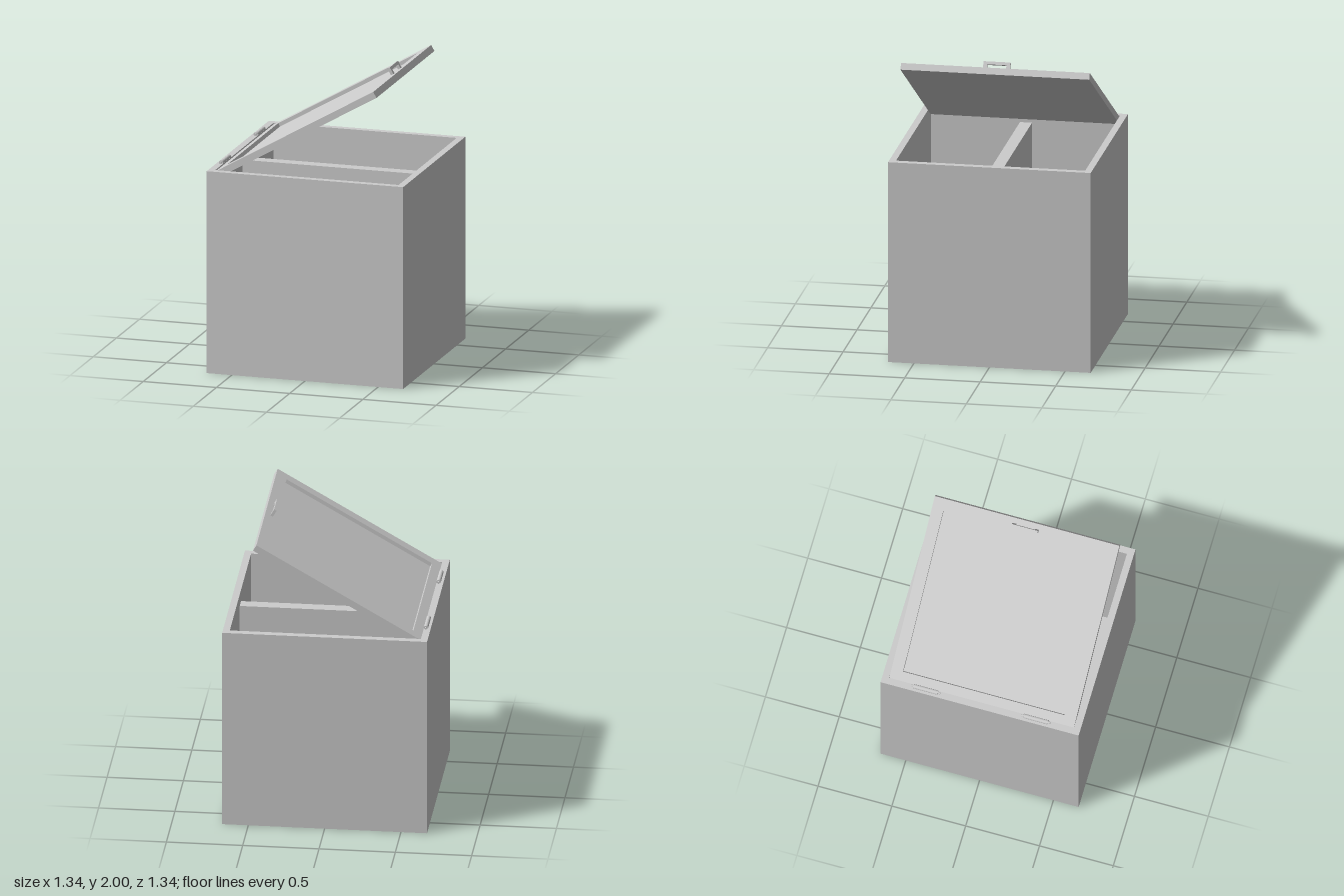
import * as THREE from 'three';

const material = new THREE.MeshStandardMaterial({ color: 0xcccccc, flatShading: true });

function add(parent, name, geometry, x = 0, y = 0, z = 0) {
  const mesh = new THREE.Mesh(geometry, material);
  mesh.name = name;
  mesh.position.set(x, y, z);
  parent.add(mesh);
  return mesh;
}

const box = (w, h, d) => new THREE.BoxGeometry(w, h, d);

function rectangle(PathType, w, d) {
  const path = new PathType();
  path.moveTo(-w / 2, -d / 2);
  path.lineTo(w / 2, -d / 2);
  path.lineTo(w / 2, d / 2);
  path.lineTo(-w / 2, d / 2);
  path.closePath();
  return path;
}

// Upright rectangular ring standing on y = 0
function ring(w, d, border, height) {
  const shape = rectangle(THREE.Shape, w, d);
  shape.holes.push(rectangle(THREE.Path, w - 2 * border, d - 2 * border));
  return new THREE.ExtrudeGeometry(shape, { depth: height, bevelEnabled: false }).rotateX(-Math.PI / 2);
}

export function createModel() {
  const model = new THREE.Group();
  model.name = 'openChest';

  // Body: four walls, floor and a divider set below the rim
  const size = 1.342, height = 1.36, wall = 0.045, inner = size - 2 * wall;
  const body = new THREE.Group();
  body.name = 'body';
  model.add(body);
  add(body, 'walls', ring(size, size, wall, height));
  add(body, 'floor', box(inner, wall, inner), 0, wall / 2, 0);
  const dividerHeight = 1.28 - wall;
  add(body, 'divider', box(inner, dividerHeight, 0.08), 0, wall + dividerHeight / 2, -0.004);

  // Lid: framed, recessed panel, swung open about its -x edge
  const lid = new THREE.Group();
  lid.name = 'lid';
  lid.position.set(-0.635, 1.345, 0);
  lid.rotation.z = Math.PI / 6;
  model.add(lid);
  const length = 1.255, width = 1.25, thick = 0.045, border = 0.077, recess = 0.025;
  add(lid, 'lidFrame', ring(length, width, border, thick), length / 2, -thick, 0);
  const panel = thick - recess;
  add(lid, 'lidPanel', box(length - 2 * border, panel, width - 2 * border), length / 2, -thick + panel / 2, 0);

  // Handle: a bridge on two posts near the free edge
  const handle = new THREE.Group();
  handle.name = 'handle';
  handle.position.x = 1.209;
  lid.add(handle);
  add(handle, 'handleGrip', box(0.019, 0.02, 0.178), 0, 0.04, 0);
  for (const side of [-1, 1]) add(handle, 'handlePost', box(0.019, 0.03, 0.025), 0, 0.015, side * 0.0765);

  // Hinges: barrels with protruding pins on the rim
  for (const side of [-1, 1]) {
    const hinge = new THREE.Group();
    hinge.name = 'hinge';
    hinge.position.set(-0.64, 1.366, side * 0.373);
    model.add(hinge);
    add(hinge, 'hingeBarrel', new THREE.CylinderGeometry(0.0145, 0.0145, 0.166, 16).rotateX(Math.PI / 2));
    add(hinge, 'hingePin', new THREE.CylinderGeometry(0.007, 0.007, 0.197, 12).rotateX(Math.PI / 2));
  }
  return model;
}
